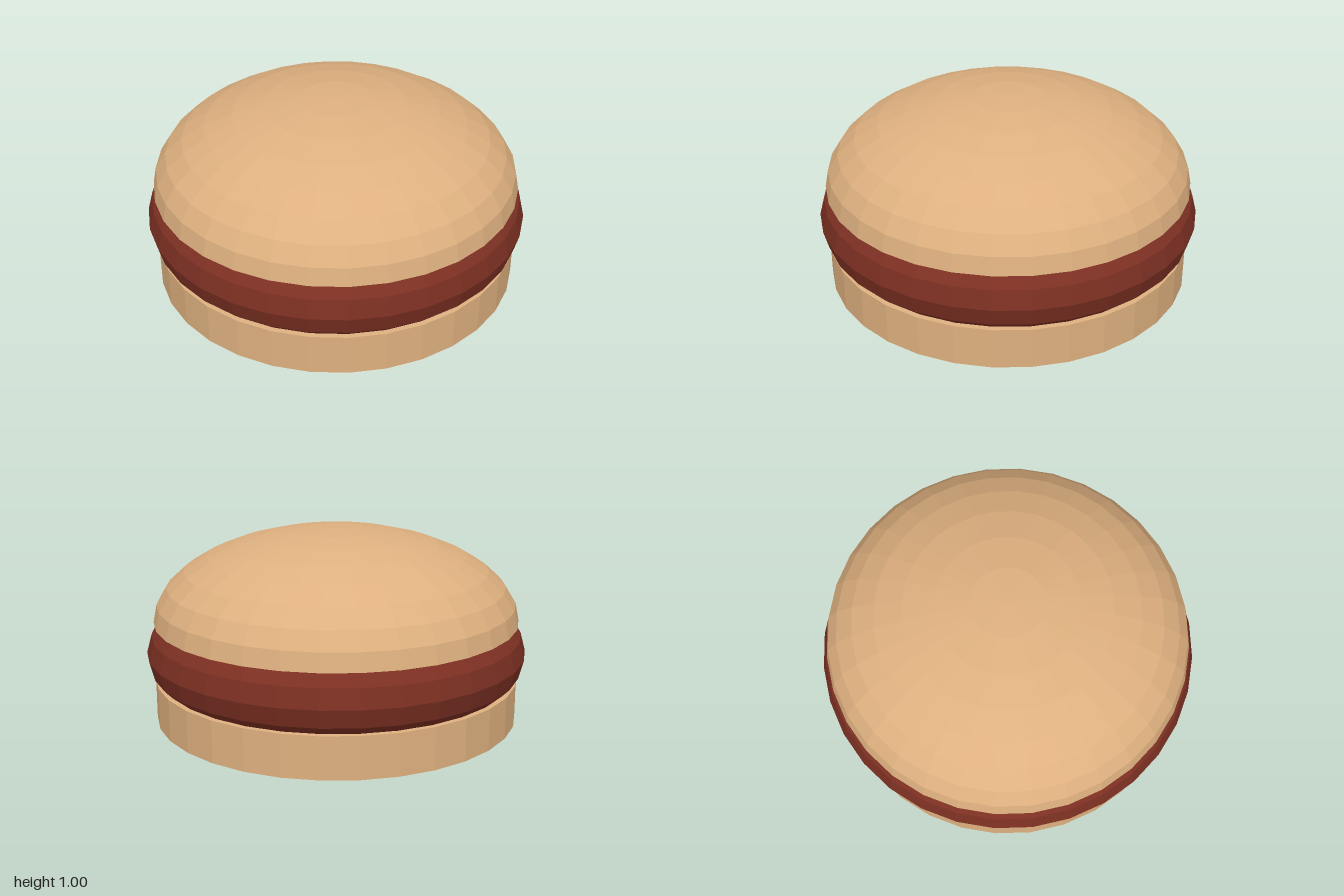
import * as THREE from 'three';

const SIDES = 32;
const BUN_RADIUS = 0.96;

function part(name, geometry, color, y) {
  const material = new THREE.MeshStandardMaterial({ color, flatShading: true });
  const mesh = new THREE.Mesh(geometry, material);
  mesh.name = name;
  mesh.position.y = y;
  return mesh;
}

export function createModel() {
  const group = new THREE.Group();
  group.name = 'burger';
  const bunColor = 0xdeb07f;

  // Lower bun: a plain flat disc
  const base = new THREE.CylinderGeometry(BUN_RADIUS, BUN_RADIUS, 0.22, SIDES);
  group.add(part('bottomBun', base, bunColor, 0.11));

  // Patty: a fat ring whose open middle is hidden between the buns
  const ring = new THREE.TorusGeometry(0.805, 0.195, 12, SIDES);
  ring.rotateX(-Math.PI / 2);
  group.add(part('patty', ring, 0x7b2f22, 0.36));

  // Upper bun: flat underside, then a squashed quarter arc up to the crown
  const steps = 8;
  const domeHeight = 0.475;
  const profile = [new THREE.Vector2(0, 0)];
  for (let i = 0; i <= steps; i++) {
    const a = (i / steps) * Math.PI / 2;
    const radius = i === steps ? 0 : BUN_RADIUS * Math.cos(a);
    profile.push(new THREE.Vector2(radius, domeHeight * Math.sin(a)));
  }
  group.add(part('topBun', new THREE.LatheGeometry(profile, SIDES), bunColor, 0.525));

  return group;
}
